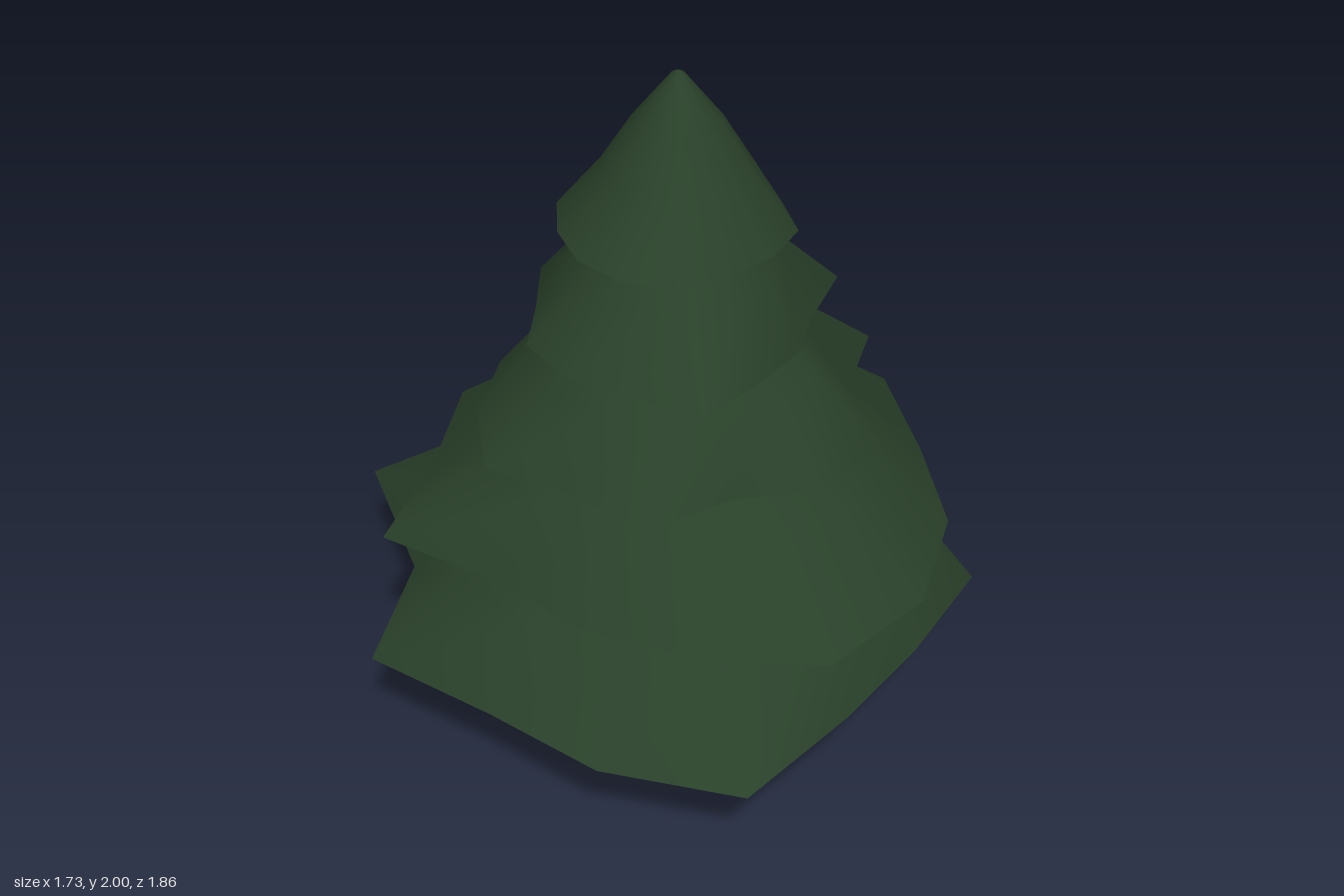
import * as THREE from 'three';

const SIDES = 14;
const AXIS = { x: 0.03, z: 0.02 };

// Each tier: base height, height, twist in degrees, radius of the two inner
// rings as fractions of the rim, and rim radius at each spoke
const TIERS = [
  { y: 0.375, h: 0.575, twist: 1.3, inner: [0.76, 0.43],
    rim: [0.837, 0.735, 0.757, 0.928, 0.836, 0.775, 0.911, 0.745, 1.008, 0.883, 0.975, 0.867, 0.73, 0.753] },
  { y: 0.672, h: 0.57, twist: 10.4, inner: [0.69, 0.36],
    rim: [0.755, 0.805, 0.833, 0.7, 0.644, 0.618, 0.825, 0.693, 0.771, 0.72, 0.892, 0.818, 0.803, 0.714] },
  { y: 0.97, h: 0.53, twist: 20.8, inner: [0.72, 0.38],
    rim: [0.587, 0.525, 0.45, 0.56, 0.49, 0.583, 0.541, 0.524, 0.508, 0.47, 0.515, 0.582, 0.624, 0.462] },
  { y: 1.267, h: 0.48, twist: 4, inner: [0.69, 0.37],
    rim: [0.356, 0.366, 0.381, 0.475, 0.406, 0.416, 0.421, 0.376, 0.426, 0.356, 0.475, 0.47, 0.436, 0.465] },
  { y: 1.567, h: 0.423, twist: 12, inner: [0.65, 0.39],
    rim: [0.318, 0.307, 0.307, 0.345, 0.337, 0.327, 0.317, 0.322, 0.305, 0.295, 0.28, 0.302, 0.287, 0.282] },
];

// Open skirt of branches, built ring by ring and closed with a small tip
function tierGeometry({ y, h, twist, inner, rim }) {
  // Rings: height fraction, radius fraction, share of the rim's irregularity kept
  const rings = [[0, 1, 1], [0.36, inner[0], 0.25], [0.68, inner[1], 0.1], [1, 0.06, 0]];
  const mean = rim.reduce((a, b) => a + b) / SIDES;
  const pos = [];
  const index = [];
  for (const [t, scale, keep] of rings) {
    rim.forEach((r, k) => {
      const a = THREE.MathUtils.degToRad(twist) + (k / SIDES) * Math.PI * 2;
      const radius = scale * (mean + (r - mean) * keep);
      pos.push(AXIS.x + radius * Math.cos(a), y + t * h, AXIS.z + radius * Math.sin(a));
    });
  }
  const tip = rings.length * SIDES;
  pos.push(AXIS.x, y + h + 0.01, AXIS.z);
  for (let i = 0; i < rings.length; i++) {
    for (let k = 0; k < SIDES; k++) {
      const n = (k + 1) % SIDES;
      const a = i * SIDES + k, b = i * SIDES + n;
      if (i === rings.length - 1) index.push(a, tip, b);
      else index.push(a, a + SIDES, b, b, a + SIDES, b + SIDES);
    }
  }
  const geo = new THREE.BufferGeometry();
  geo.setAttribute('position', new THREE.Float32BufferAttribute(pos, 3));
  geo.setIndex(index);
  geo.computeVertexNormals();
  return geo;
}

export function createModel() {
  const needles = new THREE.MeshStandardMaterial({ color: 0x294029, side: THREE.DoubleSide });
  needles.name = 'needle green';
  const bark = new THREE.MeshStandardMaterial({ color: 0x47332c, side: THREE.DoubleSide });
  bark.name = 'bark brown';

  const tree = new THREE.Group();
  tree.name = 'pineTree';

  // Short tapering trunk, ending inside the lowest tier
  const trunkHeight = 0.73;
  const trunk = new THREE.Mesh(new THREE.CylinderGeometry(0.062, 0.106, trunkHeight, 12, 1, true), bark);
  trunk.name = 'trunk';
  trunk.position.set(AXIS.x, trunkHeight / 2, AXIS.z);
  tree.add(trunk);

  // Branch tiers from the ground up
  TIERS.forEach((tier, i) => {
    const mesh = new THREE.Mesh(tierGeometry(tier), needles);
    mesh.name = `branchTier${i + 1}`;
    tree.add(mesh);
  });
  return tree;
}
